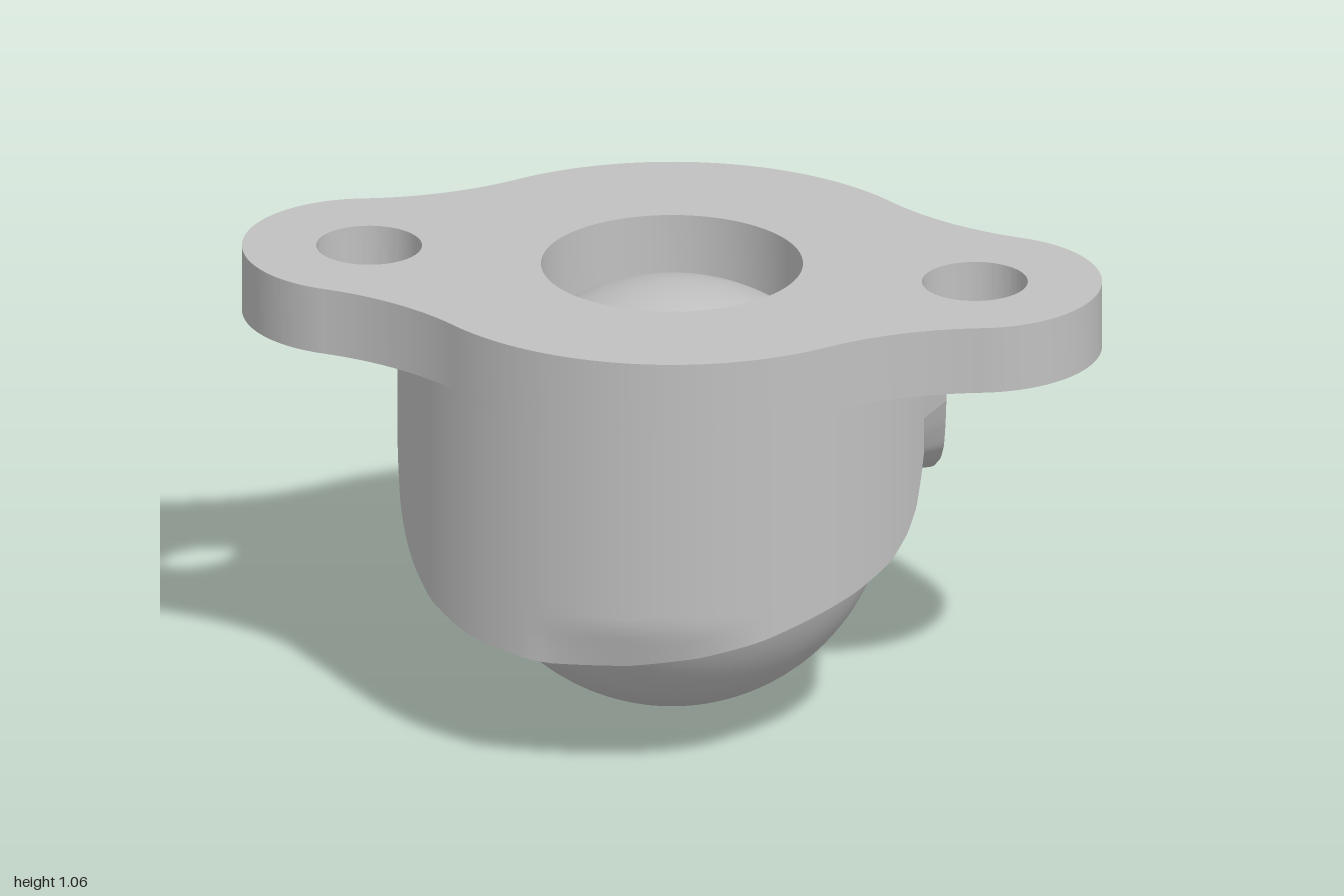
import * as THREE from 'three';
import { mergeGeometries, toCreasedNormals } from 'three/addons/utils/BufferGeometryUtils.js';

const BALL_R = 0.5, CAVITY_R = 0.503, BODY_R = 0.635, SLOT = 0.16;
const FLANGE_Y = 0.9, FLANGE_H = 0.16;

// height of the skirt's lower edge by angle in degrees, from +x round to -x
const EDGE = [[14, 0.72], [16, 0.64], [18.4, 0.57], [22, 0.522], [28, 0.475], [39, 0.432], [52, 0.392],
  [62, 0.36], [75, 0.325], [90, 0.3], [108, 0.29], [129, 0.31], [142, 0.35], [150, 0.4], [156, 0.45],
  [161, 0.51], [164, 0.59], [166, 0.66]];

function edgeHeight(angle) {
  const d = THREE.MathUtils.radToDeg(angle);
  let i = 0;
  while (i < EDGE.length - 2 && d > EDGE[i + 1][0]) i++;
  const [[a, ya], [b, yb]] = [EDGE[i], EDGE[i + 1]];
  return THREE.MathUtils.lerp(ya, yb, THREE.MathUtils.clamp((d - a) / (b - a), 0, 1));
}

// surface patch over a unit square; its front faces du x dv unless flipped
function patch(nu, nv, point, flip = false) {
  const pos = [], index = [];
  for (let i = 0; i <= nu; i++) {
    for (let j = 0; j <= nv; j++) pos.push(...point(i / nu, j / nv));
  }
  for (let i = 0; i < nu; i++) {
    for (let j = 0; j < nv; j++) {
      const a = i * (nv + 1) + j, b = a + nv + 1;
      if (flip) index.push(a, a + 1, b, b, a + 1, b + 1);
      else index.push(a, b, a + 1, b, b + 1, a + 1);
    }
  }
  const g = new THREE.BufferGeometry();
  g.setAttribute('position', new THREE.Float32BufferAttribute(pos, 3));
  g.setIndex(index);
  g.computeVertexNormals();
  return g;
}

// angle at fraction s between the two parallel slot walls, for a radius r
function angleAt(s, r) {
  const start = Math.asin(SLOT / r);
  return start + (Math.PI - 2 * start) * (1 - Math.cos(Math.PI * s)) / 2;
}
const polar = (r, angle, y) => [r * Math.cos(angle), y, r * Math.sin(angle)];

// outer wall, slightly drawn in near the lowest part of the rim
function outer(s, t) {
  const angle = angleAt(s, BODY_R), low = edgeHeight(angle);
  const y = THREE.MathUtils.lerp(low, FLANGE_Y, t);
  const weight = Math.max(0, 1 - ((THREE.MathUtils.radToDeg(angle) - 87) / 25) ** 2);
  const taper = 0.03 * weight * THREE.MathUtils.clamp((0.4 - y) / 0.11, 0, 1);
  return polar(BODY_R - taper, angle, y);
}

// spherical cavity wall around the ball
const cavityRadius = (y) => Math.sqrt(CAVITY_R ** 2 - (y - BALL_R) ** 2);
function inner(s, t) {
  let low = 0.4;
  for (let k = 0; k < 8; k++) low = edgeHeight(angleAt(s, cavityRadius(low)));
  const y = THREE.MathUtils.lerp(low, FLANGE_Y, t), r = cavityRadius(y);
  return polar(r, angleAt(s, r), y);
}

// ruled surface between the inner and outer walls
function between(s, t, k) {
  const a = inner(s, t), b = outer(s, t);
  return a.map((v, i) => THREE.MathUtils.lerp(v, b[i], k));
}

function skirtGeometry() {
  return mergeGeometries([
    patch(96, 24, outer, true),
    patch(96, 24, inner),
    patch(96, 4, (s, k) => between(s, 0, 1 - k)),
    patch(4, 24, (k, t) => between(0, t, k), true),
    patch(4, 24, (k, t) => between(1, t, k)),
  ]);
}

// round plate with two lugs, blended by concave fillets
function flangeGeometry() {
  const lugX = 0.707, lugR = 0.293, fillet = 0.7;
  const d1 = BODY_R + fillet, d2 = lugR + fillet;
  const body = Math.acos((d1 * d1 + lugX * lugX - d2 * d2) / (2 * d1 * lugX));
  const cx = d1 * Math.cos(body), cy = d1 * Math.sin(body);
  const lug = Math.atan2(cy, cx - lugX), PI = Math.PI;
  const shape = new THREE.Shape();
  shape.absarc(lugX, 0, lugR, -lug, lug, false);
  shape.absarc(cx, cy, fillet, PI + lug, PI + body, true);
  shape.absarc(0, 0, BODY_R, body, PI - body, false);
  shape.absarc(-cx, cy, fillet, -body, -lug, true);
  shape.absarc(-lugX, 0, lugR, PI - lug, PI + lug, false);
  shape.absarc(-cx, -cy, fillet, lug, body, true);
  shape.absarc(0, 0, BODY_R, PI + body, 2 * PI - body, false);
  shape.absarc(cx, -cy, fillet, PI - body, PI - lug, true);
  for (const [x, r] of [[0, 0.302], [lugX, 0.122], [-lugX, 0.122]]) {
    const hole = new THREE.Path();
    hole.absarc(x, 0, r, 0, 2 * PI, true);
    shape.holes.push(hole);
  }
  const g = new THREE.ExtrudeGeometry(shape, { depth: FLANGE_H, bevelEnabled: false, curveSegments: 48 });
  g.rotateX(-PI / 2);
  return toCreasedNormals(g, 0.6);
}

export function createModel() {
  const group = new THREE.Group();
  group.name = 'ballCaster';
  const grey = new THREE.MeshStandardMaterial({ color: 0xc0c0c0 });
  grey.name = 'grey';
  const add = (name, geometry, y = 0) => {
    const mesh = new THREE.Mesh(geometry, grey);
    mesh.name = name;
    mesh.position.y = y;
    group.add(mesh);
    return mesh;
  };

  add('mountingFlange', flangeGeometry(), FLANGE_Y);
  add('ball', new THREE.SphereGeometry(BALL_R, 64, 48), BALL_R);

  // two mirrored halves of the housing, with a slot between them
  const skirt = skirtGeometry();
  add('frontHousing', skirt);
  add('backHousing', skirt).scale.z = -1;
  return group;
}
